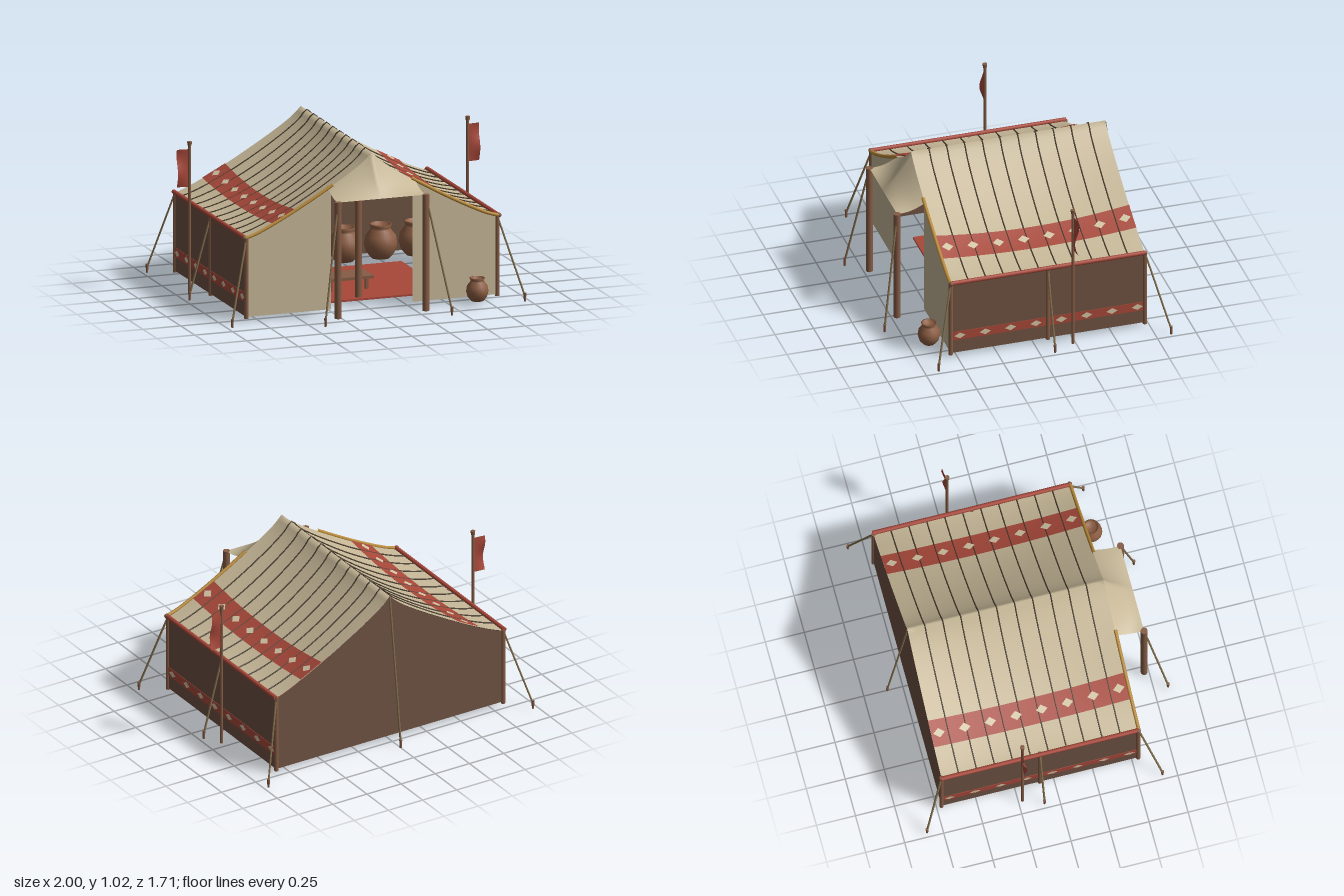
import * as THREE from 'three';

const mat = (name, color, double) => {
  const m = new THREE.MeshStandardMaterial({ color });
  m.name = name;
  if (double) m.side = THREE.DoubleSide;
  return m;
};

export function createModel() {
  const canvas = mat('canvas', 0xc6b797, true);
  const brownCloth = mat('brownCloth', 0x6e5242, true);
  const red = mat('redCloth', 0xa8483a, true);
  const ochre = mat('ochre', 0xb98a38);
  const wood = mat('wood', 0x855c45);
  const rope = mat('rope', 0x86714f);
  const seamMat = mat('darkSeam', 0x4a3d2e);
  const clay = mat('clay', 0x8e5f44);
  const cream = mat('cream', 0xd2c4a4, true);

  const tent = new THREE.Group();
  tent.name = 'tent';
  const W = 0.83, F = 0.54, B = -0.72, MID = (F + B) / 2, LEN = F - B;

  const add = (name, geo, material, x = 0, y = 0, z = 0, parent = tent) => {
    const m = new THREE.Mesh(geo, material);
    m.name = name;
    m.position.set(x, y, z);
    parent.add(m);
    return m;
  };
  const box = (w, h, d) => new THREE.BoxGeometry(w, h, d);

  // Straight round bar between two points
  const bar = (name, a, b, r, material, sides = 10) => {
    const p = new THREE.Vector3(...a), q = new THREE.Vector3(...b);
    const m = add(name, new THREE.CylinderGeometry(r, r, p.distanceTo(q), sides), material);
    m.position.copy(p).add(q).multiplyScalar(0.5);
    m.quaternion.setFromUnitVectors(new THREE.Vector3(0, 1, 0), q.sub(p).normalize());
    return m;
  };

  // Grid surface from a rule: f(u, v) gives [x, y, z]
  const surface = (f, nu, nv) => {
    const g = new THREE.PlaneGeometry(1, 1, nu, nv);
    const p = g.attributes.position;
    for (let i = 0; i < p.count; i++) p.setXYZ(i, ...f(p.getX(i) + 0.5, 0.5 - p.getY(i)));
    g.computeVertexNormals();
    return g;
  };

  // Roof height: steep near the ridge, sagging halfway along its length
  const profile = (x) => {
    const a = Math.min(Math.abs(x) / W, 1);
    return 0.53 + 0.45 * Math.pow(1 - a, 1.17) + 0.03 * Math.exp(-a * 16);
  };
  const roofY = (x, z) => {
    const k = (z - MID) / (LEN / 2);
    return profile(x) - 0.05 * Math.sin(Math.PI * Math.min(Math.abs(x) / W, 1)) * Math.max(0, 1 - k * k);
  };
  const diamond = (a, b) => new THREE.Shape([[a, 0], [0, b], [-a, 0], [0, -b]].map((p) => new THREE.Vector2(...p)));

  // Roof cloth
  add('roof', surface((u, v) => {
    const x = (u - 0.5) * 2 * W, z = B + v * LEN;
    return [x, roofY(x, z), z];
  }, 64, 24), canvas);

  // Seam cords over the roof
  for (let i = 0; i < 10; i++) {
    const z = -0.61 + i * 0.115, pts = [];
    for (let j = 0; j <= 32; j++) {
      const x = (j / 16 - 1) * W;
      pts.push(new THREE.Vector3(x, roofY(x, z) + 0.003, z));
    }
    add('roofSeam', new THREE.TubeGeometry(new THREE.CatmullRomCurve3(pts), 64, 0.0045, 5), seamMat);
  }
  bar('ridgePole', [0, 0.975, B + 0.02], [0, 0.975, F - 0.02], 0.016, wood);

  // Awning from the roof edge down to a level front edge
  add('awning', surface((u, v) => {
    const x = (u - 0.5) * 0.58, top = profile(x);
    return [x, top + (0.755 - top) * v - 0.015 * Math.sin(Math.PI * v), F + v * 0.18];
  }, 32, 10), canvas);

  // Gable wall at the back, split panels at the front
  const wallShape = (x0, x1) => {
    const s = new THREE.Shape();
    s.moveTo(x0, 0.03);
    s.lineTo(x1, 0.03);
    for (let i = 0; i <= 40; i++) {
      const x = x1 + (x0 - x1) * i / 40;
      s.lineTo(x, profile(x) - 0.002);
    }
    return new THREE.ShapeGeometry(s);
  };
  add('backWall', wallShape(-W, W), brownCloth, 0, 0, B);
  add('frontPanelLeft', wallShape(0.27, W), canvas, 0, 0, F);
  add('frontPanelRight', wallShape(-W, -0.27), canvas, 0, 0, F);

  for (const s of [-1, 1]) {
    // Side wall with a patterned band
    add('sideWall', box(0.004, 0.5, LEN), brownCloth, s * W, 0.28, MID);
    add('wallBand', box(0.0095, 0.06, LEN - 0.02), red, s * W, 0.15, MID);
    // Patterned band on the roof
    add('roofBand', surface((u, v) => {
      const x = s * (0.5 + u * 0.152), z = B + v * LEN;
      return [x, roofY(x, z) + 0.005, z];
    }, 6, 24), red);
    for (let i = 0; i < 8; i++) {
      const z = 0.482 - i * 0.1645;
      for (const e of [-0.0065, 0.0065]) {
        add('wallDiamond', new THREE.ShapeGeometry(diamond(0.037, 0.021)), cream, s * W + e, 0.15, z)
          .rotation.y = s * Math.PI / 2;
      }
      const g = new THREE.ShapeGeometry(diamond(0.027, 0.037));
      const p = g.attributes.position;
      for (let k = 0; k < p.count; k++) {
        const x = s * 0.578 + p.getX(k), zz = z + p.getY(k);
        p.setXYZ(k, x, roofY(x, zz) + 0.009, zz);
      }
      g.computeVertexNormals();
      add('roofDiamond', g, cream);
    }

    // Eave rail and front edge trim
    bar('eaveRail', [s * 0.838, 0.535, B - 0.005], [s * 0.838, 0.535, F + 0.005], 0.014, red);
    const trim = [];
    for (let i = 0; i <= 8; i++) {
      const x = 0.26 + i * 0.0725;
      trim.push(new THREE.Vector3(s * x, profile(x) + 0.004, F + 0.003));
    }
    add('frontTrim', new THREE.TubeGeometry(new THREE.CatmullRomCurve3(trim), 16, 0.011, 8), ochre);
    add('trimKnob', new THREE.SphereGeometry(0.015, 10, 8), wood, s * 0.842, 0.535, F);

    // Posts
    for (const z of [F, B, -0.09]) bar('wallPost', [s * W, 0.02, z], [s * W, 0.535, z], 0.014, wood);
    bar('awningPost', [s * 0.29, 0.015, 0.72], [s * 0.29, 0.757, 0.72], 0.022, wood, 14);

    // Flag on its pole
    bar('flagPole', [s * 0.92, 0.015, -0.225], [s * 0.92, 0.96, -0.225], 0.009, wood);
    add('flagPoleCap', new THREE.CylinderGeometry(0.015, 0.013, 0.025, 10), wood, s * 0.92, 0.967, -0.225);
    add('flag', surface((u, v) => [
      s * (0.925 + u * 0.075), 0.93 - v * 0.24, -0.228 - 0.014 * u * Math.sin(v * Math.PI * 2 + 0.6),
    ], 6, 12), red);
  }

  // Guy ropes with pegs
  const guy = (a, x, z) => {
    bar('guyRope', a, [x, 0.035, z], 0.0065, rope, 6);
    add('peg', new THREE.CylinderGeometry(0.01, 0.007, 0.055, 8), wood, x, 0.0275, z);
  };
  for (const s of [-1, 1]) {
    guy([s * W, 0.53, F], s * 0.968, 0.66);
    guy([s * W, 0.53, B], s * 0.968, -0.848);
    guy([s * W, 0.53, -0.09], s * 0.968, -0.095);
    guy([s * 0.29, 0.75, 0.72], s * 0.418, 0.84);
  }
  guy([0, 1.0, B], 0, -0.848);

  // Centre poles and rug
  for (const z of [-0.47, 0.3]) bar('centrePole', [0, 0.02, z], [0, 0.98, z], 0.022, wood, 14);
  add('rug', box(1.14, 0.012, 0.81), red, 0, 0.024, -0.055);

  // Low table
  const table = new THREE.Group();
  table.name = 'table';
  table.position.set(0, 0.03, 0.06);
  tent.add(table);
  add('tableTop', box(0.32, 0.018, 0.18), wood, 0, 0.078, 0, table);
  for (const x of [-0.12, 0.12]) for (const z of [-0.065, 0.065]) {
    add('tableLeg', box(0.02, 0.07, 0.02), wood, x, 0.035, z, table);
  }

  // Row of cushions
  for (let i = 0; i < 4; i++) {
    const c = add('cushion', new THREE.SphereGeometry(1, 20, 12), i % 2 ? ochre : cream, -0.47, 0.075, 0.1 - i * 0.2);
    const p = c.geometry.attributes.position;
    // Square the sphere into a pillow
    for (let k = 0; k < p.count; k++) {
      const f = (v) => Math.sign(v) * Math.pow(Math.abs(v), 0.55);
      p.setXYZ(k, f(p.getX(k)) * 0.11, p.getY(k) * 0.045, f(p.getZ(k)) * 0.085);
    }
    c.geometry.computeVertexNormals();
  }

  // Clay jars
  const jarProfile = [[0, 0], [0.55, 0], [0.85, 0.35], [1, 0.85], [0.93, 1.35], [0.62, 1.75], [0.6, 1.9],
    [0.7, 2.08], [0.56, 2.08], [0.48, 1.8], [0, 1.75]];
  const jar = (x, z, r, y = 0.03) => add('jar', new THREE.LatheGeometry(
    jarProfile.map(([a, b]) => new THREE.Vector2(a * r, b * r)), 24), clay, x, y, z);
  jar(0.664, 0.63, 0.07, 0.025);
  for (const x of [0.24, 0.48, 0.71]) jar(x, -0.59, 0.104);

  // Rolled bedding by the side wall
  add('beddingRoll', new THREE.CapsuleGeometry(0.075, 0.12, 6, 16), clay, 0.67, 0.105, -0.25).rotation.x = Math.PI / 2;

  return tent;
}
